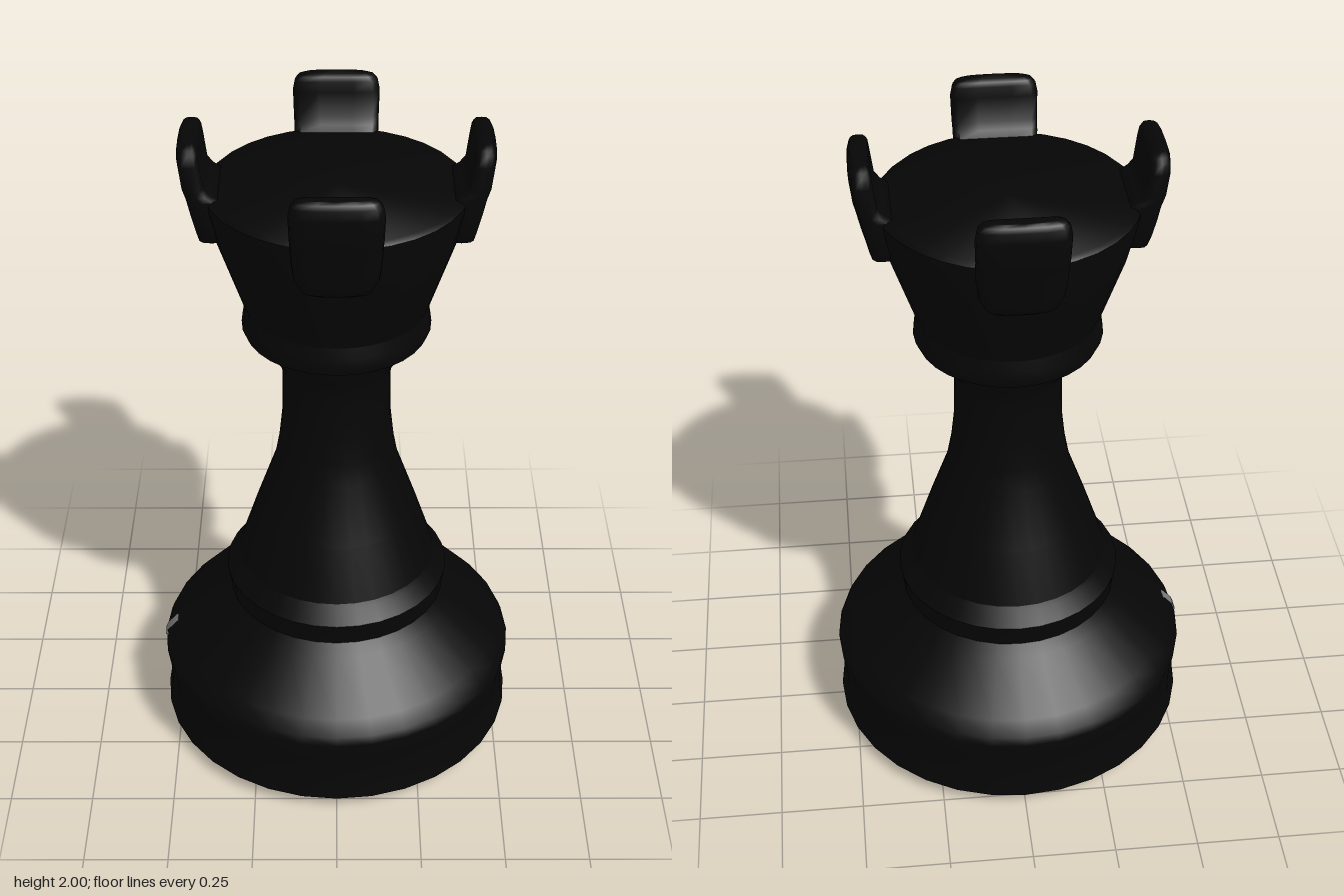
import * as THREE from 'three';
import { toCreasedNormals } from 'three/addons/utils/BufferGeometryUtils.js';

function flatColour(name, color) {
  const material = new THREE.MeshStandardMaterial({ color, side: THREE.DoubleSide });
  material.name = name;
  return material;
}
const black = flatColour('black', 0x060606);
const grey = flatColour('grey', 0x7a7a7a);

function part(name, geometry, material = black) {
  const mesh = new THREE.Mesh(geometry, material);
  mesh.name = name;
  return mesh;
}

const toPoints = (pairs) => pairs.map(([r, y]) => new THREE.Vector2(r, y));

// Turned part from [radius, height] pairs, bottom to top
function turned(name, profile) {
  return part(name, toCreasedNormals(new THREE.LatheGeometry(toPoints(profile), 32), 0.8));
}

// Battlement lofted from rows of [height, half width, inner z, outer z]
function battlementGeometry() {
  const rows = [
    [1.70, 0.075, 0.32, 0.372], [1.71, 0.092, 0.32, 0.384], [1.75, 0.114, 0.32, 0.392],
    [1.80, 0.12, 0.32, 0.405], [1.845, 0.122, 0.32, 0.415], [1.86, 0.122, 0.342, 0.418],
    [1.88, 0.123, 0.358, 0.423], [1.95, 0.125, 0.367, 0.431], [1.98, 0.119, 0.371, 0.429],
    [1.993, 0.108, 0.375, 0.424], [2.0, 0.085, 0.385, 0.415],
  ];
  // Rounded rectangle with a slightly bowed outer side: [across, inner to outer]
  const half = [[0, 1], [0.5, 0.98], [0.85, 0.88], [0.97, 0.72], [1, 0.45], [0.97, 0.15], [0.85, 0], [0.4, 0]];
  const section = [...half, ...half.slice(1).reverse().map(([u, v]) => [-u, v])];
  const n = section.length;
  const positions = [];
  const index = [];
  for (const [y, w, zin, zout] of rows) {
    for (const [u, v] of section) positions.push(u * w, y, zin + v * (zout - zin));
  }
  for (let i = 0; i < rows.length - 1; i++) {
    for (let j = 0; j < n; j++) {
      const a = i * n + j;
      const b = i * n + (j + 1) % n;
      index.push(a, b, b + n, a, b + n, a + n);
    }
  }
  // End caps
  const top = (rows.length - 1) * n;
  for (let j = 1; j < n - 1; j++) {
    index.push(0, j + 1, j, top, top + j, top + j + 1);
  }
  const geometry = new THREE.BufferGeometry();
  geometry.setAttribute('position', new THREE.Float32BufferAttribute(positions, 3));
  geometry.setIndex(index);
  return toCreasedNormals(geometry, 1);
}

export function createModel() {
  const model = new THREE.Group();
  model.name = 'rook';

  // Hollow shell, open underneath
  model.add(turned('base', [
    [0.495, 0], [0.545, 0.045], [0.536, 0.1], [0.533, 0.15], [0.536, 0.2],
    [0.545, 0.26], [0.535, 0.285], [0.5, 0.325], [0.36, 0.445], [0.33, 0.48],
  ]));
  model.add(turned('lowerCollar', [
    [0.33, 0.48], [0.332, 0.51], [0.34, 0.55], [0.31, 0.59], [0.3, 0.605],
  ]));
  model.add(turned('stem', [
    [0.3, 0.605], [0.245, 0.77], [0.185, 0.94], [0.17, 1.02], [0.16, 1.11], [0.158, 1.25],
    [0.165, 1.285], [0.195, 1.325], [0.205, 1.385],
  ]));
  model.add(turned('upperCollar', [
    [0.205, 1.385], [0.262, 1.388], [0.272, 1.41], [0.268, 1.44], [0.262, 1.475],
  ]));
  model.add(turned('head', [
    [0.262, 1.475], [0.335, 1.69], [0.366, 1.815], [0.367, 1.835], [0.355, 1.846], [0, 1.846],
  ]));

  // Small grey chip through the shoulder of the base
  const chip = toPoints([
    [0.538, 0.268], [0.529, 0.283], [0.502, 0.316], [0.508, 0.322], [0.539, 0.287], [0.546, 0.27], [0.538, 0.268],
  ]);
  model.add(part('shoulderChip', new THREE.LatheGeometry(chip, 1, Math.PI * 1.5, 0.075), grey));

  // Four battlements around the rim
  const geometry = battlementGeometry();
  for (let i = 0; i < 4; i++) {
    const battlement = part('battlement', geometry);
    battlement.rotation.y = i * Math.PI / 2;
    model.add(battlement);
  }
  return model;
}
